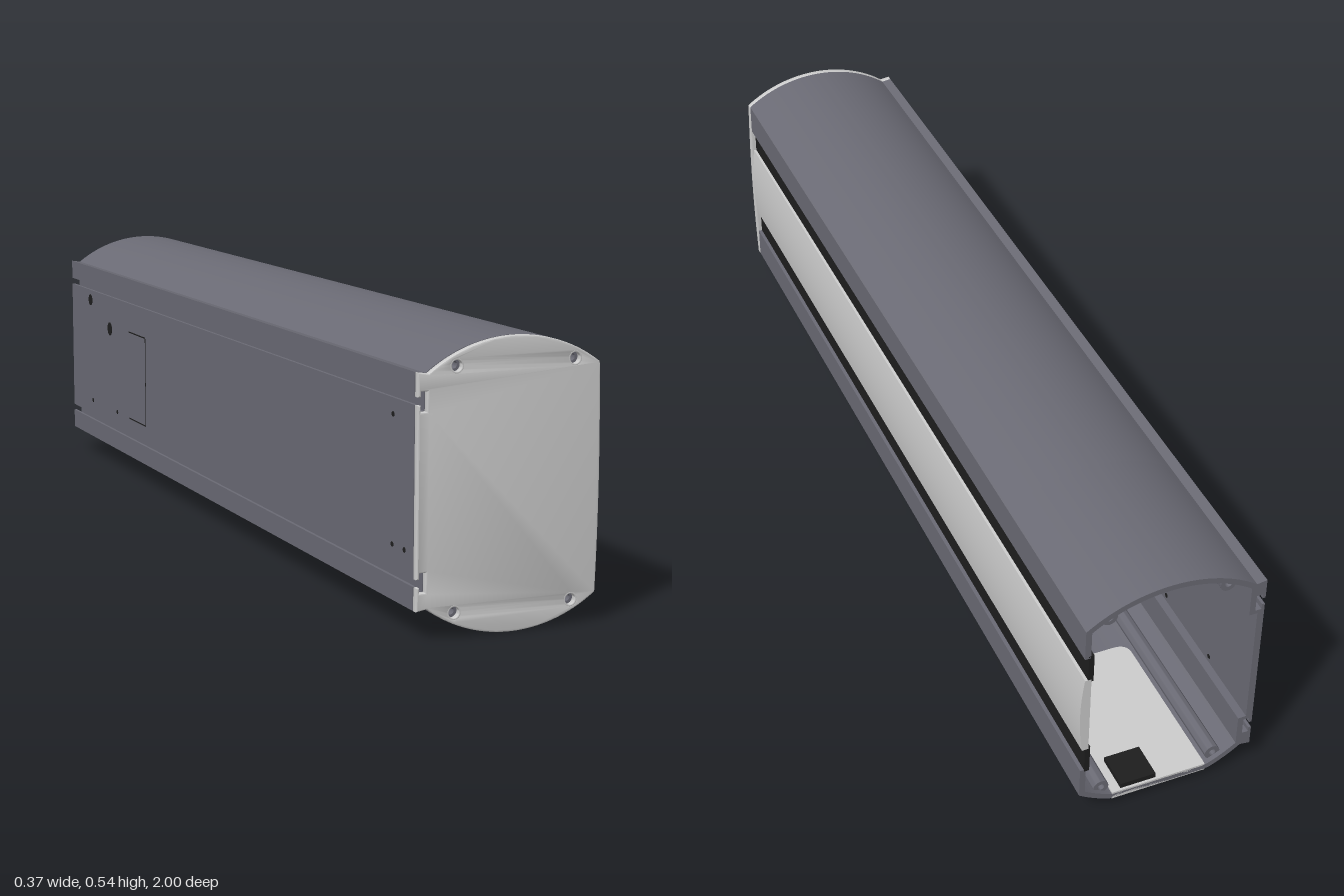
import * as THREE from 'three';
import { toCreasedNormals } from 'three/addons/utils/BufferGeometryUtils.js';

const MID = 0.2725;        // height of the mirror plane
const FRONT = 0.985;       // where the housing meets the end cap
const LEFT = -0.186;       // outside of the mounting wall
const mat = (color) => new THREE.MeshStandardMaterial({ color });
const DARK = mat(0x6a6a74), BLACK = mat(0x1e1e1e), GREY = mat(0xcccccc);

const flip = (pts) => pts.map(([x, y]) => [x, 2 * MID - y]).reverse();

// Points on the top crown (centre x = 0.01) with a given radius
function crown(radius, xa, xb, n = 32) {
  return Array.from({ length: n + 1 }, (_, i) => {
    const x = xa + (xb - xa) * i / n;
    return [x, 0.257 + Math.sqrt(radius * radius - (x - 0.01) ** 2)];
  });
}

// Shallow bulge up the display side
function bulge(x, depth, ya, yb, n = 16) {
  return Array.from({ length: n + 1 }, (_, i) => {
    const t = i / n;
    return [x + depth * 4 * t * (1 - t), ya + (yb - ya) * t];
  });
}

const toShape = (pts) => new THREE.Shape(pts.map(([x, y]) => new THREE.Vector2(x, y)));

function prism(name, shape, z0, z1, material, bevel = 0) {
  let g = new THREE.ExtrudeGeometry(shape, {
    depth: z1 - z0 - 2 * bevel, bevelEnabled: bevel > 0, bevelSize: bevel,
    bevelThickness: bevel, bevelOffset: -bevel, bevelSegments: 2, curveSegments: 20,
  });
  g.translate(0, 0, z0 + bevel);
  g = toCreasedNormals(g, 0.5);
  const m = new THREE.Mesh(g, material);
  m.name = name;
  return m;
}

function box(name, x0, x1, y0, y1, z0, z1, material) {
  const m = new THREE.Mesh(new THREE.BoxGeometry(x1 - x0, y1 - y0, z1 - z0), material);
  m.position.set((x0 + x1) / 2, (y0 + y1) / 2, (z0 + z1) / 2);
  m.name = name;
  return m;
}

// Upper half of the outside, from the display side over to the T-slot in the wall
const slot = [[LEFT, 0.445], [-0.18, 0.445], [-0.18, 0.455], [-0.167, 0.455],
  [-0.167, 0.418], [-0.18, 0.418], [-0.18, 0.43], [LEFT, 0.43]];
const outerTop = [...crown(0.288, 0.181, -0.165), [LEFT, 0.489], ...slot];
const outer = [...outerTop, ...flip(outerTop)];

// Inside of the shell, thickened around the T-slots
const innerTop = [[-0.172, 0.41], [-0.155, 0.41], ...crown(0.276, -0.155, 0.169), [0.169, 0.42]];
const inner = [...flip(innerTop), ...innerTop];

function shell(outerFloor, innerFloor) {
  const a = outer.map(([x, y]) => [x, Math.max(y, outerFloor)]);
  const b = inner.map(([x, y]) => [x, Math.max(y, innerFloor)]);
  return toShape([[0.181, 0.42], ...a, [0.181, 0.125], ...b]);
}

export function createModel() {
  const model = new THREE.Group();
  model.name = 'extrudedHousing';

  // Hollow housing, with its underside flattened near the open rear end
  model.add(prism('housing', shell(-1, -1), -0.64, FRONT, DARK));
  model.add(prism('rearHousing', shell(0.02, 0.03), -1, -0.64, DARK));

  // Display panel between two recessed dark strips
  const panel = [...bulge(0.179, 0.007, 0.18, 0.365), [0.166, 0.365], [0.166, 0.18]];
  model.add(prism('sidePanel', toShape(panel), -1, FRONT, GREY));
  model.add(box('lowerStrip', 0.162, 0.173, 0.12, 0.185, -1, FRONT, BLACK));
  model.add(box('upperStrip', 0.162, 0.173, 0.36, 0.425, -1, FRONT, BLACK));

  // End cap with screw holes
  const cap = toShape([...bulge(0.182, 0.004, 0.057, 0.488), ...outer]);
  const screws = [];
  for (const x of [-0.11, 0.13]) for (const y of [0.048, 0.497]) screws.push([x, y]);
  for (const [x, y] of screws) {
    cap.holes.push(new THREE.Path().absarc(x, y, 0.011, 0, Math.PI * 2, true));
  }
  model.add(prism('endCap', cap, FRONT, 1, GREY, 0.003));

  for (const [x, y] of screws) {
    const rim = new THREE.Mesh(new THREE.TorusGeometry(0.0125, 0.002, 6, 24), GREY);
    rim.position.set(x, y, 0.999);
    rim.scale.z = 0.5;
    rim.name = 'screwRim';
    const boss = new THREE.Shape().absarc(x, y, 0.016, 0, Math.PI * 2);
    boss.holes.push(new THREE.Path().absarc(x, y, 0.007, 0, Math.PI * 2, true));
    model.add(rim, prism('screwChannel', boss, -0.99, FRONT, DARK));
  }

  // Connector plate under the rear end, rounded at its inner corners
  const plate = new THREE.Shape();
  plate.moveTo(-0.09, -1).lineTo(0.11, -1).lineTo(0.11, -0.67)
    .quadraticCurveTo(0.11, -0.642, 0.08, -0.642).lineTo(-0.06, -0.642)
    .quadraticCurveTo(-0.09, -0.642, -0.09, -0.67);
  const plateMesh = prism('connectorPlate', plate, -0.034, -0.018, GREY);
  plateMesh.rotation.x = Math.PI / 2;
  model.add(plateMesh);
  model.add(box('powerSocket', 0.015, 0.09, 0.014, 0.045, -0.995, -0.92, BLACK));
  model.add(box('dataSocket', 0.0, 0.05, 0.01, 0.022, -0.9, -0.83, GREY));
  model.add(box('dataOpening', 0.012, 0.038, 0.009, 0.02, -0.885, -0.845, BLACK));

  // Holes in the mounting wall: z, y, radius
  const holes = [[-0.85, 0.405, 0.014], [-0.7, 0.35, 0.016], [-0.84, 0.15, 0.005],
    [-0.65, 0.15, 0.005], [0.9, 0.4, 0.005], [0.9, 0.16, 0.005], [0.95, 0.16, 0.005]];
  for (const [z, y, r] of holes) {
    const hole = new THREE.Mesh(new THREE.CylinderGeometry(r, r, 0.016, 20), BLACK);
    hole.rotation.z = Math.PI / 2;
    hole.position.set(-0.179, y, z);
    hole.name = 'wallHole';
    model.add(hole);
  }

  // Seam of the access cover in the mounting wall
  const seam = (y0, y1, z0, z1) => box('coverSeam', LEFT - 0.0003, LEFT + 0.002, y0, y1, z0, z1, BLACK);
  model.add(seam(0.15, 0.36, -0.442, -0.439), seam(0.148, 0.151, -0.56, -0.439),
    seam(0.359, 0.362, -0.56, -0.439));
  return model;
}
